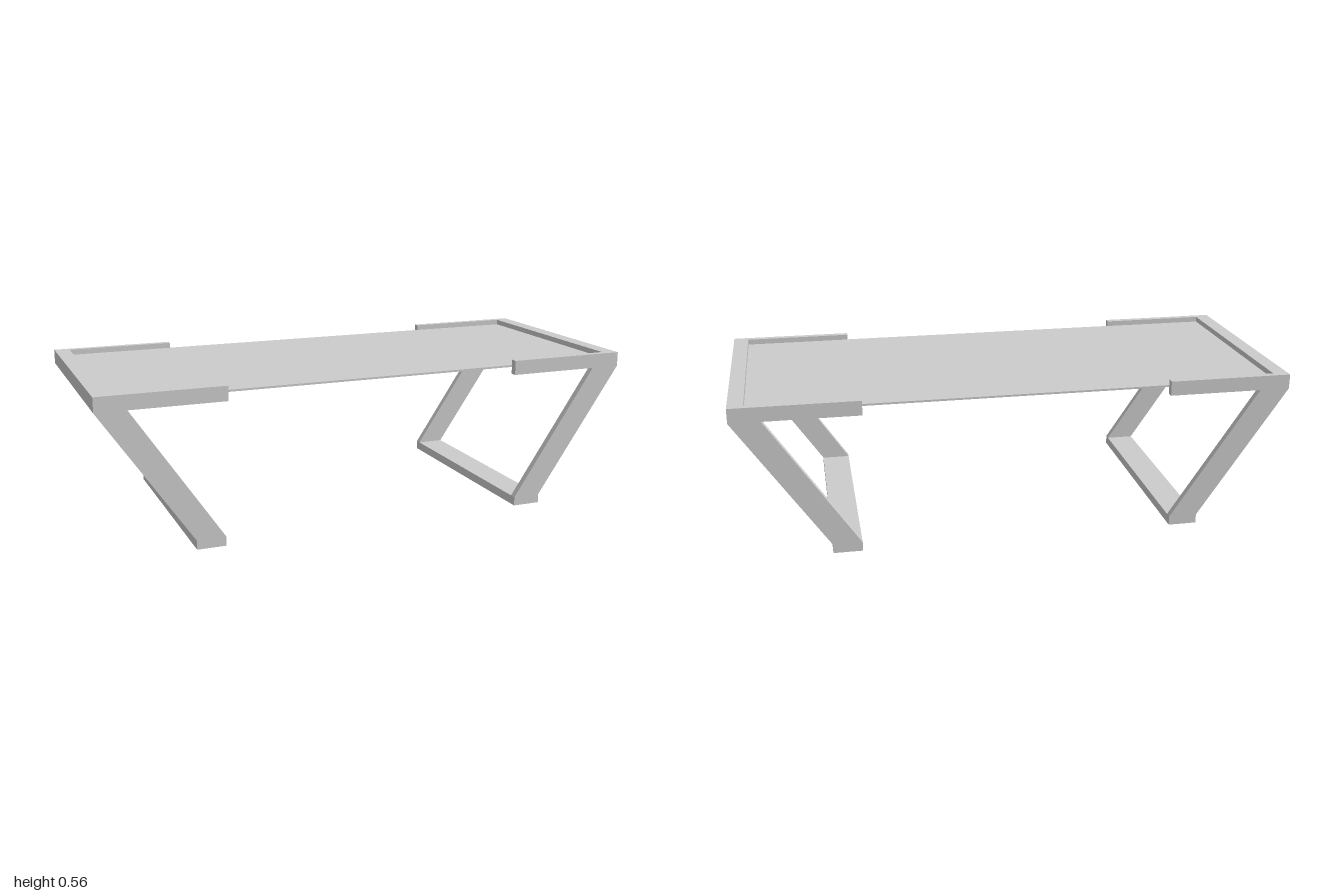
import * as THREE from 'three';

const material = new THREE.MeshStandardMaterial({ color: 0xcccccc, flatShading: true });

// Half depth outside and inside the side frames
const OUT = 0.425, IN = 0.4;

function box(name, x0, x1, y0, y1, halfDepth) {
  const mesh = new THREE.Mesh(new THREE.BoxGeometry(x1 - x0, y1 - y0, halfDepth * 2), material);
  mesh.position.set((x0 + x1) / 2, (y0 + y1) / 2, 0);
  mesh.name = name;
  return mesh;
}

// Flat bracket: top rail, slanted leg and foot end in one outline
function bracketGeometry(side) {
  const outline = [
    [1, 0.565], [0.55, 0.565], [0.55, 0.512], [0.89, 0.512], [0.57, 0.033],
    [0.57, 0], [0.675, 0], [0.675, 0.033], [1, 0.512],
  ];
  const shape = new THREE.Shape(outline.map(([x, y]) => new THREE.Vector2(x * side, y)));
  return new THREE.ExtrudeGeometry(shape, { depth: OUT - IN, bevelEnabled: false });
}

export function createModel() {
  const table = new THREE.Group();
  table.name = 'table';

  // Thin top panel held between the brackets
  table.add(box('tabletop', -0.945, 0.945, 0.538, 0.545, 0.402));

  for (const side of [1, -1]) {
    const frame = new THREE.Group();
    frame.name = side > 0 ? 'leftLegFrame' : 'rightLegFrame';

    // Front and back brackets
    const geometry = bracketGeometry(side);
    for (const [name, z] of [['frontBracket', IN], ['backBracket', -OUT]]) {
      const bracket = new THREE.Mesh(geometry, material);
      bracket.position.z = z;
      bracket.name = name;
      frame.add(bracket);
    }

    // Crossbars joining the brackets at the top and at the floor
    const span = (a, b) => (side > 0 ? [a, b] : [-b, -a]);
    frame.add(box('topCrossbar', ...span(0.945, 1), 0.512, 0.565, IN));
    frame.add(box('footCrossbar', ...span(0.57, 0.675), 0, 0.033, IN));
    table.add(frame);
  }
  return table;
}
